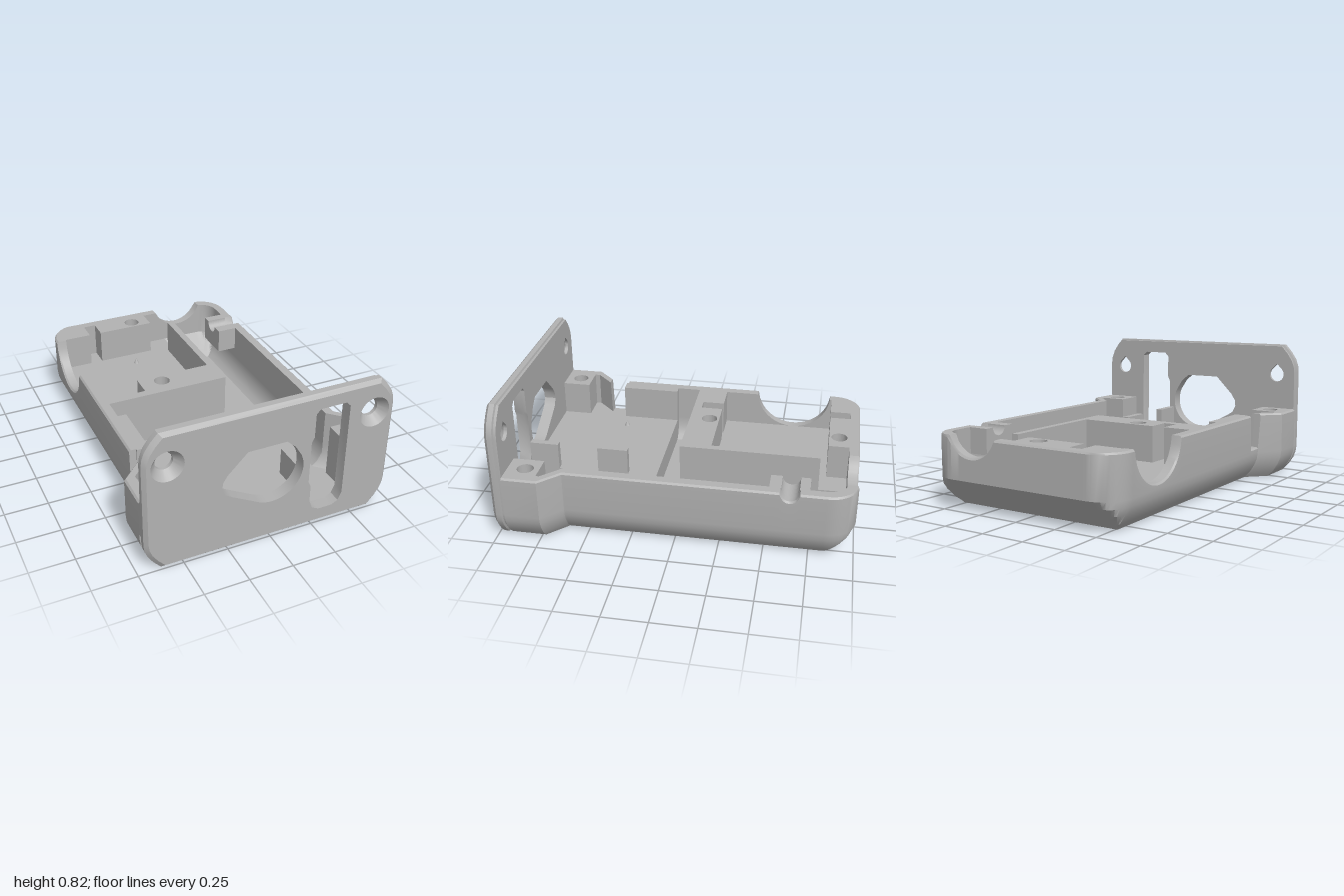
import * as THREE from 'three';
import { toCreasedNormals } from 'three/addons/utils/BufferGeometryUtils.js';

const V = (x, y, z) => new THREE.Vector3(x, y, z);
const H = 0.41; // body height

export function createModel() {
  const model = new THREE.Group();
  // the shell is built from open skins, so it is double sided
  const grey = new THREE.MeshStandardMaterial({ color: 0xb2b2b2, side: THREE.DoubleSide });
  grey.name = 'grey plastic';

  const add = (name, geometry, parent = model) => {
    const mesh = new THREE.Mesh(geometry, grey);
    mesh.name = name;
    parent.add(mesh);
    return mesh;
  };
  const group = (name) => {
    const g = new THREE.Group();
    g.name = name;
    model.add(g);
    return g;
  };
  const shapeOf = (pts) => new THREE.Shape(pts.map(([x, y]) => new THREE.Vector2(x, y)));

  // skin through rings that have the same number of points
  function loft(rings, closed) {
    const n = rings[0].length, index = [];
    for (let r = 0; r < rings.length - 1; r++) {
      for (let i = 0; i < (closed ? n : n - 1); i++) {
        const a = r * n + i, b = r * n + (i + 1) % n;
        index.push(a, b, b + n, a, b + n, a + n);
      }
    }
    const g = new THREE.BufferGeometry().setFromPoints(rings.flat());
    g.setIndex(index);
    g.computeVertexNormals();
    return toCreasedNormals(g, 0.55);
  }

  // upright prism over a plan outline of [x, z], with an optional round hole
  function prism(name, plan, y0, y1, hole, parent) {
    const s = shapeOf(plan.map(([x, z]) => [x, -z]));
    if (hole) s.holes.push(new THREE.Path().absarc(hole[0], -hole[1], 0.047, 0, Math.PI * 2, true));
    const g = new THREE.ExtrudeGeometry(s, { depth: y1 - y0, bevelEnabled: false, curveSegments: 16 });
    g.rotateX(-Math.PI / 2).translate(0, y0, 0);
    return add(name, g, parent);
  }
  const rect = (x0, x1, z0, z1) => [[x0, z1], [x1, z1], [x1, z0], [x0, z0]];

  // ---- tray shell: U-shaped wall around sides and back ----
  function outline(t) {
    const half = [[0.71 - t, 0.93], [0.71 - t, 0.73], [0.61 - t, 0.63]];
    for (let i = 0; i <= 146; i++) half.push([0.6 - t, 0.62 - i * 0.01]);
    for (let i = 1; i <= 10; i++) {
      const a = i / 10 * Math.PI / 2;
      half.push([0.44 + (0.16 - t) * Math.cos(a), -0.84 - (0.16 - t) * Math.sin(a)]);
    }
    for (let i = 1; i <= 44; i++) half.push([0.44 - i * 0.01, -1 + t]);
    return [...half, ...half.slice(0, -1).reverse().map(([x, z]) => [-x, z])];
  }
  const outer = outline(0), inner = outline(0.06);

  // rim height, lowered by the cable notches and the side opening
  const dip = (u, r, cy) => (Math.abs(u) < r ? Math.min(H, cy - Math.sqrt(r * r - u * u)) : H);
  const rim = outer.map(([x, z]) => {
    if (z < -0.99) return dip(x - 0.3, 0.17, 0.47);
    if (x > 0.59) return dip(z + 0.635, 0.05, H);
    if (x < -0.59 && z > 0.515 && z < 0.625) return 0.2;
    if (x < -0.59) return dip(z + 0.58, 0.23, 0.43);
    return H;
  });
  // one level of the wall: inset at the sides, sloped at the back below y = slope
  const level = (base, inset, yOf, back, slope) => base.map(([x, z], i) => {
    const y = yOf(rim[i]);
    const d = inset * Math.min(1, Math.abs(x) / 0.44);
    return V(x - Math.sign(x) * d, y, Math.max(z, back + Math.max(0, slope - y)));
  });
  const rings = [
    ...[[0.09, 0], [0.05, 0.04], [0.02, 0.09], [0.005, 0.13], [0, 0.17]]
      .map(([d, y]) => level(outer, d, () => y, -1, 0.17)),
    level(outer, 0, (h) => h - 0.01, -1, 0.17),
    level(outer, 0.01, (h) => h, -0.992, 0.17),
    level(inner, 0, (h) => h, -0.95, 0.2),
    ...[[0, 0.2], [0, 0.14], [0.03, 0.085], [0.06, 0.06]]
      .map(([d, y]) => level(inner, d, (h) => Math.min(h, y), -0.95, 0.2)),
  ];
  const shell = group('trayShell');
  add('wall', loft(rings, false), shell);
  for (const [name, ring] of [['underside', rings[0]], ['floor', rings[rings.length - 1]]]) {
    const g = new THREE.ShapeGeometry(shapeOf(ring.map((p) => [p.x, -p.z])));
    g.rotateX(-Math.PI / 2).translate(0, ring[0].y, 0);
    add(name, g, shell);
  }

  // ---- rear compartment ----
  const rear = group('rearCompartment');
  prism('rearBase', rect(-0.54, 0.2, -0.82, 0.03), 0.06, 0.2, null, rear);
  prism('rearLedge', rect(-0.54, 0.2, -0.95, -0.82), 0.17, 0.2, null, rear);
  prism('rearCornerBlock', rect(-0.54, -0.375, -0.95, -0.82), 0.19, H, null, rear);
  prism('rearScrewBlock', rect(-0.3, 0.05, -0.95, -0.82), 0.19, H, [-0.06, -0.88], rear);
  prism('dividerWall', [[-0.54, -0.15], [-0.375, -0.15], [-0.375, -0.02], [-0.3, -0.02], [-0.3, -0.15],
    [0.16, -0.15], [0.16, -0.78], [0.2, -0.78], [0.2, 0.03], [-0.54, 0.03]], 0.19, H, [-0.165, -0.09], rear);

  // ---- front compartment ----
  const front = group('frontCompartment');
  prism('frontPlatform', rect(-0.54, 0.22, 0.17, 0.93), 0.06, 0.2, null, front);
  prism('platformWing', [[-0.54, 0.62], [-0.65, 0.73], [-0.65, 0.93], [-0.5, 0.93], [-0.5, 0.62]], 0.1, 0.2, null, front);
  prism('sideLedge', rect(-0.56, -0.49, 0.17, 0.52), 0.06, H, null, front);
  prism('rearPost', rect(0.18, 0.22, 0.34, 0.52), 0.19, 0.36, null, front);
  prism('frontPost', rect(0.18, 0.22, 0.76, 0.93), 0.19, 0.36, null, front);
  prism('rightScrewBoss', rect(-0.67, -0.49, 0.76, 0.93), 0.1, H, [-0.58, 0.84], front);
  prism('leftScrewBoss', rect(0.49, 0.67, 0.75, 0.93), 0.1, H, [0.585, 0.83], front);

  // locating pins
  for (const [x, z] of [[-0.1, -0.7], [-0.1, -0.265], [-0.37, 0.48], [0.06, 0.48]]) {
    add('locatingPin', new THREE.ConeGeometry(0.017, 0.035, 12)).position.set(x, 0.2175, z);
  }

  // cable clamp with a half-round groove
  const clamp = new THREE.Shape();
  clamp.moveTo(0.52, 0.26);
  clamp.lineTo(0.74, 0.26);
  clamp.lineTo(0.74, H);
  clamp.lineTo(0.685, H);
  clamp.absarc(0.635, H, 0.05, 0, -Math.PI, true);
  clamp.lineTo(0.52, H);
  const clampGeo = new THREE.ExtrudeGeometry(clamp, { depth: 0.125, bevelEnabled: false });
  add('cableClamp', clampGeo.rotateY(Math.PI / 2).translate(0.42, 0, 0));

  // ---- front plate ----
  const plate = group('frontPlate');
  const corner = [[0.62, 0], [0.66, 0.045], [0.69, 0.09], [0.705, 0.13], [0.71, 0.17]];
  const side = [...corner, ...corner.map(([x, y]) => [x, 0.82 - y]).reverse()];
  const edge = [...side, ...side.map(([x, y]) => [-x, y]).reverse()];
  const plateRing = (d, z) => edge.map(([x, y]) =>
    V(x * (1 - d / 0.71), H + (y - H) * (1 - d / H), z));
  add('plateEdge', loft([plateRing(0.01, 0.93), plateRing(0.01, 0.945), plateRing(0, 0.95),
    plateRing(0, 0.98), plateRing(0.02, 1)], true), plate);

  // openings: a rounded window, a tall slot and two teardrop screw holes
  const windowPts = [];
  for (let i = 0; i <= 20; i++) {
    const a = THREE.MathUtils.degToRad(-115 + i * 7);
    windowPts.push([0.175 * Math.cos(a), H + 0.175 * Math.sin(a)]);
  }
  windowPts.push([0.12, 0.545], [0.07, 0.59], [-0.15, 0.59], [-0.26, 0.48], [-0.285, 0.44],
    [-0.29, 0.4], [-0.27, 0.36], [-0.23, 0.335]);
  const slotPts = [[0.23, 0.16], [0.25, 0.11], [0.29, 0.09], [0.37, 0.09], [0.41, 0.11], [0.43, 0.16],
    [0.43, 0.71], [0.405, 0.735], [0.255, 0.735], [0.23, 0.71], [0.23, 0.57], [0.215, 0.54],
    [0.215, 0.29], [0.23, 0.26]];
  const screwHole = (cx, r, pointed) => Array.from({ length: 32 }, (_, i) => {
    const a = i / 32 * Math.PI * 2, off = Math.abs(a - Math.PI / 2);
    const k = pointed && off < Math.PI / 4 ? r / Math.cos(Math.PI / 4 - off) : r;
    return [cx + k * Math.cos(a), 0.63 + k * Math.sin(a)];
  });
  const openings = [
    { name: 'windowWall', front: windowPts, back: windowPts },
    { name: 'slotWall', front: slotPts, back: slotPts },
    ...[-0.58, 0.585].map((x) => ({ name: 'screwHoleWall', front: screwHole(x, 0.088, false), back: screwHole(x, 0.048, true) })),
  ];
  const at = (pts, z) => pts.map(([x, y]) => V(x, y, z));
  for (const o of openings) {
    add(o.name, loft([at(o.front, 1), at(o.back, 0.95), at(o.back, 0.93)], true), plate);
  }
  for (const [face, inset, z] of [['front', 0.02, 1], ['back', 0.01, 0.93]]) {
    const s = shapeOf(plateRing(inset, z).map((p) => [p.x, p.y]));
    for (const o of openings) s.holes.push(shapeOf(o[face]));
    const g = new THREE.ShapeGeometry(s);
    if (face === 'back') g.setIndex([...g.index.array].reverse());
    if (face === 'back') g.computeVertexNormals();
    add(face + 'Face', g.translate(0, 0, z), plate);
  }
  return model;
}
